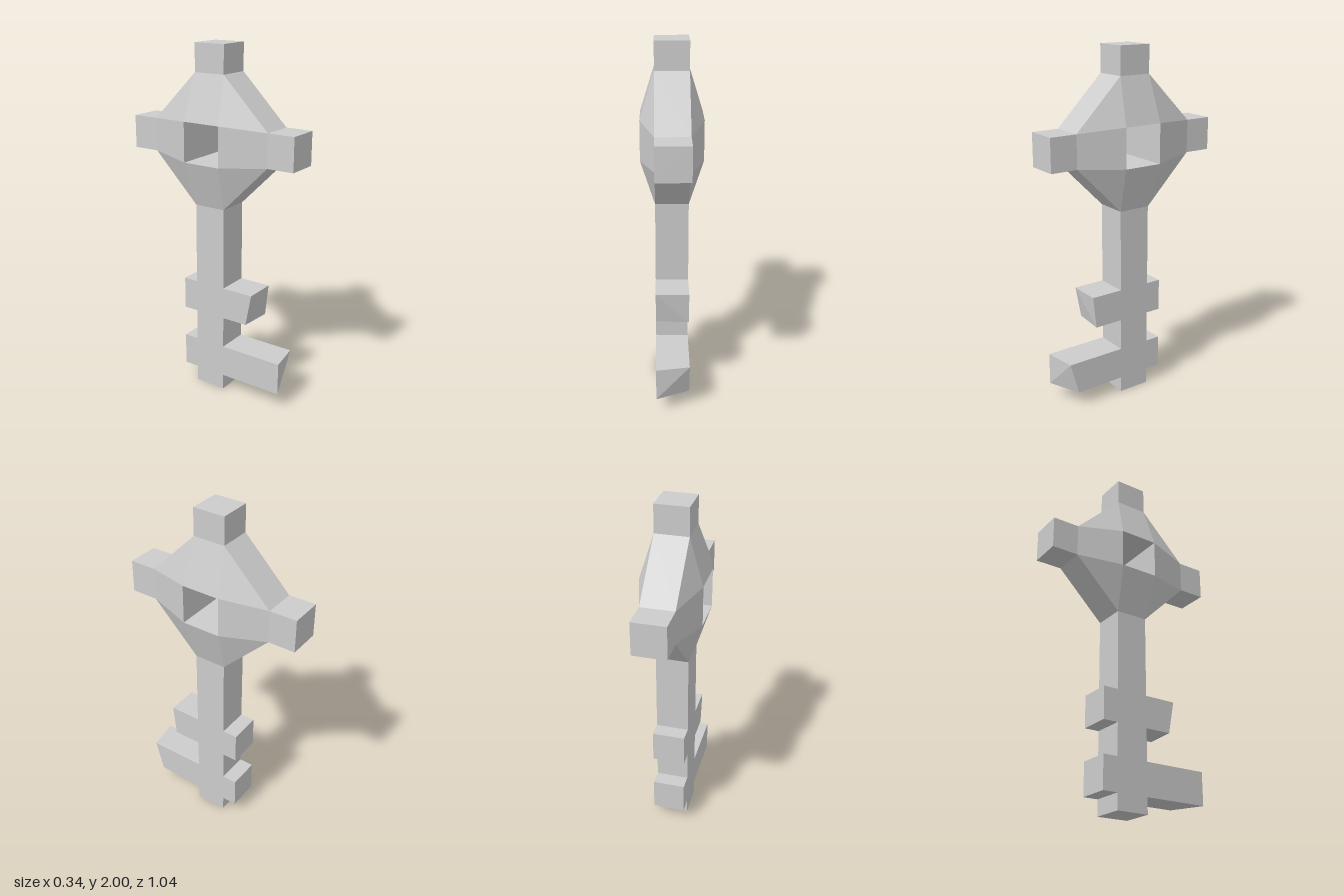
import * as THREE from 'three';

const H = 0.093; // half thickness of the shaft, stubs and teeth
const HEAD_Y = 1.478;

export function createModel() {
  const group = new THREE.Group();
  const metal = new THREE.MeshStandardMaterial({ color: 0xcccccc, flatShading: true });
  metal.name = 'grey metal';

  const add = (name, geometry) => {
    const mesh = new THREE.Mesh(geometry, metal);
    mesh.name = name;
    group.add(mesh);
    return mesh;
  };

  // Box of the common width, given its y and z ranges
  const bar = (name, y0, y1, z0, z1) => {
    const g = new THREE.BoxGeometry(2 * H, y1 - y0, z1 - z0);
    g.translate(0, (y0 + y1) / 2, (z0 + z1) / 2);
    return add(name, g);
  };

  // Tooth with a skewed front end: z of top left, top right, bottom left, bottom right
  const skewTooth = (name, y0, y1, ends, flipCrease) => {
    const g = bar(name, y0, y1, H, 1).geometry;
    const p = g.attributes.position;
    for (let i = 0; i < p.count; i++) {
      if (p.getZ(i) < 0.9) continue;
      const low = p.getY(i) < (y0 + y1) / 2 ? 2 : 0;
      p.setZ(i, ends[low + (p.getX(i) > 0 ? 1 : 0)]);
    }
    if (flipCrease) {
      // run the crease of the front end from top left to bottom right
      [16, 18, 19, 16, 19, 17].forEach((v, i) => g.index.setX(24 + i, v));
    }
    g.computeVertexNormals();
  };

  // Shaft and the stubs round the head
  bar('shaft', 0, 1.111, -H, H);
  bar('topStub', 1.845, 2, -H, H);
  bar('frontStub', HEAD_Y - H, HEAD_Y + H, 0.367, 0.522);
  bar('backStub', HEAD_Y - H, HEAD_Y + H, -0.522, -0.367);

  // Teeth
  bar('upperBackTooth', 0.46, 0.645, -0.18, -H);
  bar('lowerBackTooth', 0.09, 0.277, -0.18, -H);
  skewTooth('upperFrontTooth', 0.46, 0.645, [0.28, 0.28, 0.245, 0.26], true);
  skewTooth('lowerFrontTooth', 0.09, 0.277, [0.465, 0.435, 0.465, 0.385], false);

  add('head', headGeometry());
  return group;
}

// Eight-sided head, thickest round its square hole
function headGeometry() {
  const pos = [];
  const face = (...c) => {
    for (let i = 1; i < c.length - 1; i++) pos.push(...c[0], ...c[i], ...c[i + 1]);
  };
  const point = (k, u, v, x) => {
    const c = Math.cos(k * Math.PI / 2), s = Math.sin(k * Math.PI / 2);
    return [x, HEAD_Y + u * c - v * s, u * s + v * c];
  };
  const outer = (k, side, s) => point(k, 0.367, side * H, s * H);
  const inner = (k, side, s) => point(k, 0.112, side * 0.112, s * 0.172);

  for (let k = 0; k < 4; k++) {
    for (const s of [1, -1]) {
      const wide = [outer(k, -1, s), outer(k, 1, s), inner(k, 1, s), inner(k, -1, s)];
      const corner = [outer(k, 1, s), outer(k + 1, -1, s), inner(k, 1, s)];
      face(...(s > 0 ? wide : wide.reverse()));
      face(...(s > 0 ? corner : corner.reverse()));
    }
    // sloping rim and hole wall
    face(outer(k, 1, -1), outer(k + 1, -1, -1), outer(k + 1, -1, 1), outer(k, 1, 1));
    face(inner(k, -1, -1), inner(k, -1, 1), inner(k, 1, 1), inner(k, 1, -1));
  }
  const g = new THREE.BufferGeometry();
  g.setAttribute('position', new THREE.Float32BufferAttribute(pos, 3));
  g.computeVertexNormals();
  return g;
}
